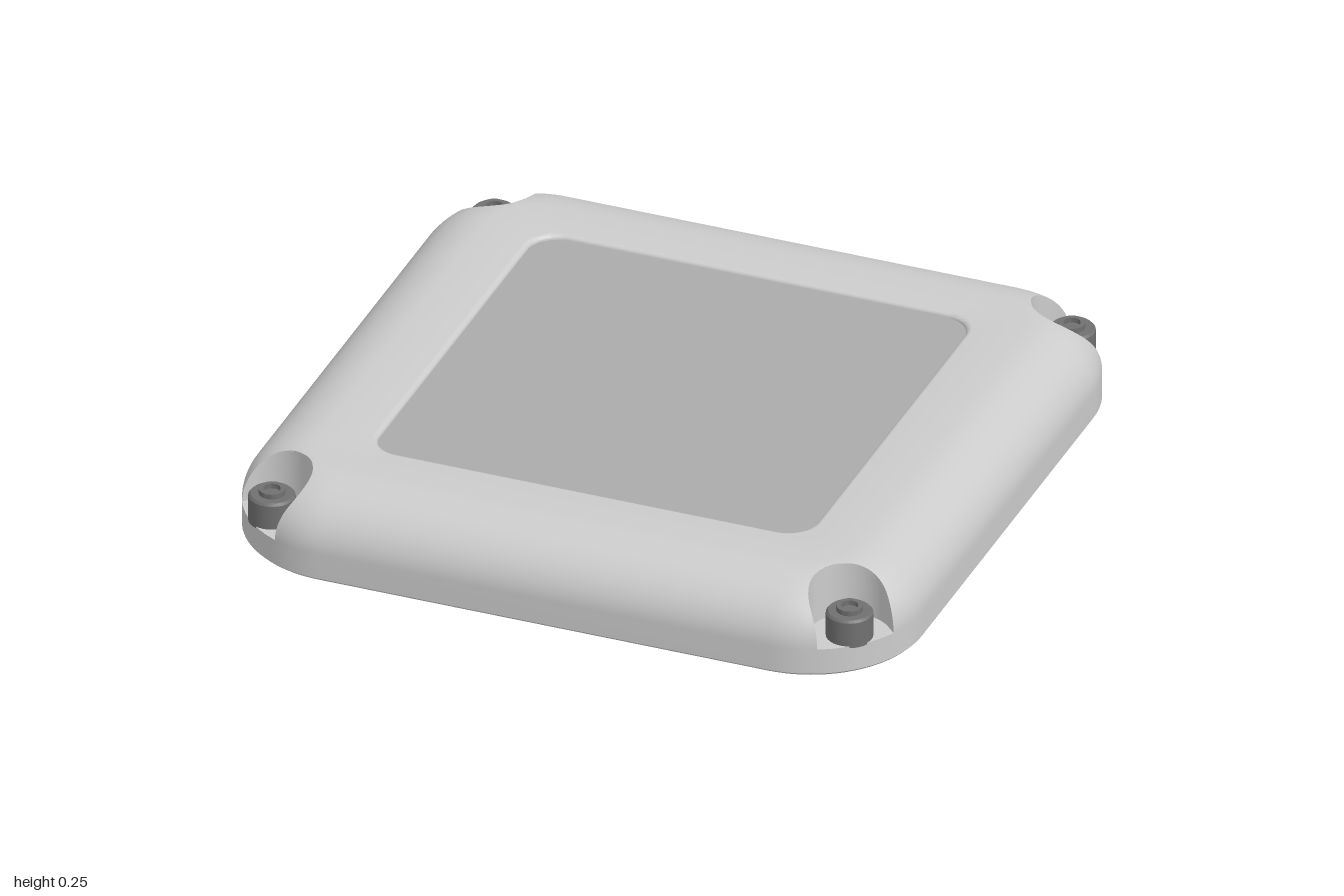
import * as THREE from 'three';
import { toCreasedNormals } from 'three/addons/utils/BufferGeometryUtils.js';

const HX = 1, HZ = 0.97, RADIUS = 0.33;        // outer footprint
const FLOOR = 0.085, TOP = 0.25, INSET = 0.2;  // pocket floor, top face, shoulder width
const PX = 0.65, PZ = 0.635, PR = 0.085;       // window opening
const POCKET_D = 0.27, POCKET_R = 0.115;       // pocket centre (from corner centre) and radius
const ARC = 8, NOTCH = 20;

// Half-angle at which the pocket cuts a corner arc of radius r
function pocketAngle(r) {
  const d = POCKET_D, R = POCKET_R;
  if (r <= d - R) return 0;
  const side = Math.asin(Math.min(1, R / r));
  if (r * Math.cos(side) >= d) return side;
  return Math.acos((r * r + d * d - R * R) / (2 * r * d));
}

// Rounded rectangle at height y, optionally with a U-shaped pocket in each corner
function ring(hx, hz, r, y, notched, theta) {
  const local = [], q = Math.PI / 4;
  const arc = (a) => [r * Math.cos(a), r * Math.sin(a)];
  for (let i = 0; i <= ARC; i++) local.push(arc(-q + (q - theta) * i / ARC));
  const alongEdge = r * Math.cos(theta);
  const phi = Math.acos(Math.max(-1, Math.min(1, (POCKET_D - alongEdge) / POCKET_R)));
  const sweep = Math.min(phi, Math.PI / 2);
  for (let i = 0; i <= NOTCH; i++) {
    const s = 2 * i / NOTCH - 1;
    local.push(notched && theta > 0
      ? [POCKET_D - POCKET_R * Math.cos(s * sweep), POCKET_R * Math.sin(s * sweep)]
      : arc(s * theta));
  }
  for (let i = 0; i <= ARC; i++) local.push(arc(theta + (q - theta) * i / ARC));

  const points = [];
  [[1, 1], [-1, 1], [-1, -1], [1, -1]].forEach(([sx, sz], k) => {
    const c = Math.cos(q + k * Math.PI / 2), s = Math.sin(q + k * Math.PI / 2);
    for (const [u, v] of local) {
      points.push(new THREE.Vector3(
        sx * (hx - r) + u * c - v * s, y, -(sz * (hz - r) + u * s + v * c)));
    }
  });
  return points;
}

// Closed loft through a list of rings, skipping collapsed triangles
function loft(rings) {
  const pos = [], tri = new THREE.Triangle();
  const add = (a, b, c) => {
    if (tri.set(a, b, c).getArea() > 1e-8) for (const p of [a, b, c]) pos.push(p.x, p.y, p.z);
  };
  rings.forEach((lower, k) => {
    const upper = rings[(k + 1) % rings.length], n = lower.length;
    for (let i = 0; i < n; i++) {
      const j = (i + 1) % n;
      add(lower[i], lower[j], upper[j]);
      add(lower[i], upper[j], upper[i]);
    }
  });
  const geometry = new THREE.BufferGeometry();
  geometry.setAttribute('position', new THREE.Float32BufferAttribute(pos, 3));
  return toCreasedNormals(geometry, 0.55);
}

function frameGeometry() {
  const base = pocketAngle(RADIUS);
  const rings = [
    ring(PX, PZ, PR, 0, false, 0),
    ring(HX - 0.008, HZ - 0.008, RADIUS - 0.008, 0, false, base),
    ring(HX, HZ, RADIUS, 0.008, false, base),
    ring(HX, HZ, RADIUS, FLOOR, false, base),
  ];
  // Curved shoulder with the four pockets
  const steps = 22;
  for (let i = 0; i <= steps; i++) {
    const t = (i / steps) * Math.PI / 2, inset = INSET * (1 - Math.cos(t));
    const r = RADIUS - inset;
    rings.push(ring(HX - inset, HZ - inset, r, FLOOR + (TOP - FLOOR) * Math.sin(t), true, pocketAngle(r)));
  }
  // Rounded lip going down into the window opening
  for (let i = 0; i <= 5; i++) {
    const t = (i / 5) * Math.PI / 2, out = 0.016 * (1 - Math.sin(t));
    rings.push(ring(PX + out, PZ + out, PR + out, TOP - 0.016 * (1 - Math.cos(t)), false, 0));
  }
  return loft(rings);
}

function panelGeometry() {
  const x = PX + 0.004, z = PZ + 0.004, r = PR, s = new THREE.Shape();
  s.absarc(x - r, z - r, r, 0, Math.PI / 2);
  s.absarc(-x + r, z - r, r, Math.PI / 2, Math.PI);
  s.absarc(-x + r, -z + r, r, Math.PI, Math.PI * 1.5);
  s.absarc(x - r, -z + r, r, Math.PI * 1.5, Math.PI * 2);
  return new THREE.ExtrudeGeometry(s, { depth: 0.03, bevelEnabled: false, curveSegments: 10 })
    .rotateX(-Math.PI / 2).translate(0, 0.206, 0);
}

// Cap screw with a small raised collar and a socket
function screwGeometry() {
  const profile = [[0, 0.08], [0.066, 0.08], [0.066, 0.158], [0.06, 0.165], [0.037, 0.165],
    [0.037, 0.18], [0.024, 0.18], [0.024, 0.165], [0, 0.165]];
  const lathe = new THREE.LatheGeometry(profile.map(([x, y]) => new THREE.Vector2(x, y)), 32);
  return toCreasedNormals(lathe, 0.5);
}

export function createModel() {
  const model = new THREE.Group();
  model.name = 'framedPanel';
  const add = (name, geometry, color) => {
    const mesh = new THREE.Mesh(geometry, new THREE.MeshStandardMaterial({ color }));
    mesh.name = name;
    model.add(mesh);
    return mesh;
  };
  add('frame', frameGeometry(), 0xcccccc);
  add('panel', panelGeometry(), 0xaaaaaa);

  const screw = screwGeometry();
  for (const [sx, side] of [[1, 'Left'], [-1, 'Right']]) {
    for (const [sz, end] of [[1, 'front'], [-1, 'back']]) {
      add(`${end}${side}Screw`, screw, 0x707070).position.set(sx * 0.86, 0, sz * 0.83);
    }
  }
  return model;
}
